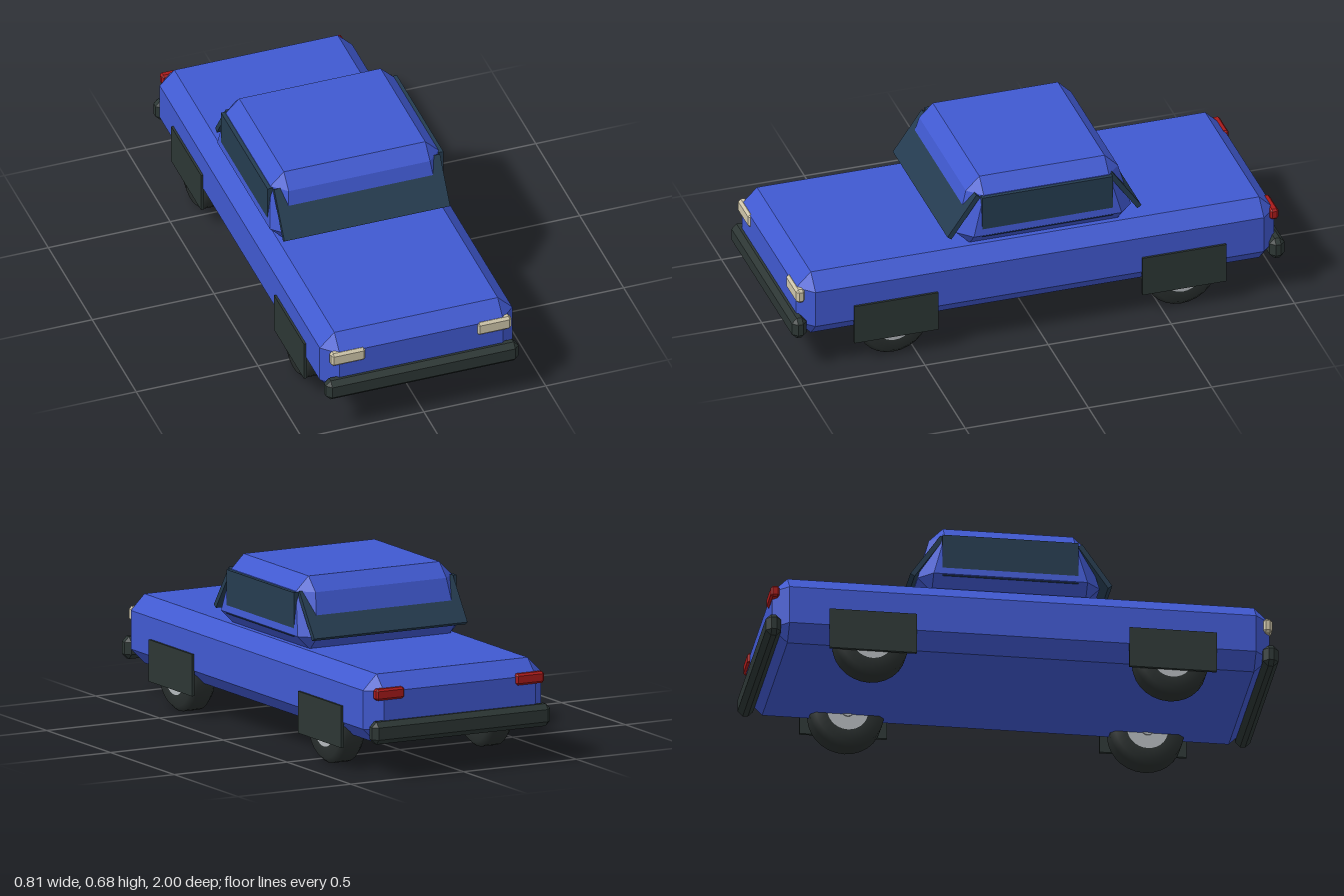
import * as THREE from 'three';
import { ConvexGeometry } from 'three/addons/geometries/ConvexGeometry.js';

const paint = (name, color, extra = {}) => {
  const m = new THREE.MeshStandardMaterial({ color, ...extra });
  m.name = name;
  return m;
};

// Box with every edge chamfered; lo and hi are the [half width, half depth] of the lower and upper rim
function chamferBox(y0, y1, lo, hi, b) {
  const pts = [];
  for (const sx of [-1, 1]) for (const sz of [-1, 1]) {
    for (const [end, rim, [x, z]] of [[y0, y0 + b, lo], [y1, y1 - b, hi]]) {
      pts.push(
        new THREE.Vector3(sx * (x - b), end, sz * (z - b)),
        new THREE.Vector3(sx * x, rim, sz * (z - b)),
        new THREE.Vector3(sx * (x - b), rim, sz * z));
    }
  }
  return new ConvexGeometry(pts);
}

const block = (w, h, d, b) => chamferBox(-h / 2, h / 2, [w / 2, d / 2], [w / 2, d / 2], b);

export function createModel() {
  const blue = paint('bodyBlue', 0x4059d0);
  const glass = paint('darkGlass', 0x253c50);
  const black = paint('trimBlack', 0x2c3634);
  const rubber = paint('tyreRubber', 0x2a302f);
  const silver = paint('hubSilver', 0xb4b8bc);
  const cream = paint('headlightCream', 0xcfc6aa);
  const red = paint('tailLightRed', 0xa81a1a);

  const car = new THREE.Group();
  car.name = 'car';
  const add = (name, geo, mat, x = 0, y = 0, z = 0, parent = car) => {
    const m = new THREE.Mesh(geo, mat);
    m.name = name;
    m.position.set(x, y, z);
    parent.add(m);
    return m;
  };

  // Lower body and tapered cabin
  add('body', chamferBox(0.13, 0.402, [0.395, 0.97], [0.395, 0.97], 0.06), blue);
  add('cabin', chamferBox(0.398, 0.677, [0.364, 0.355], [0.345, 0.309], 0.055), blue, 0, 0, -0.043);

  // Sloping windscreens, sunk into the cabin at the top
  const screen = new THREE.BoxGeometry(0.68, 0.205, 0.02);
  add('windscreen', screen, glass, 0, 0.535, 0.29).rotation.x = -0.61;
  add('rearWindow', screen, glass, 0, 0.535, -0.364).rotation.x = 0.61;

  // Bumpers
  const bumper = block(0.79, 0.088, 0.06, 0.02);
  add('frontBumper', bumper, black, 0, 0.184, 0.97);
  add('rearBumper', bumper, black, 0, 0.184, -0.97);

  // Tyre profile, turned around the axle
  const tyre = new THREE.LatheGeometry(
    [[0.08, -0.055], [0.125, -0.055], [0.145, -0.034], [0.145, 0.034], [0.125, 0.055], [0.08, 0.055]]
      .map(([r, y]) => new THREE.Vector2(r, y)), 28);
  const hub = new THREE.CylinderGeometry(0.082, 0.082, 0.108, 28);
  const cap = new THREE.CylinderGeometry(0.025, 0.025, 0.12, 16);
  const windowPane = new THREE.BoxGeometry(0.022, 0.173, 0.53);
  const flap = new THREE.BoxGeometry(0.012, 0.165, 0.34);
  const headlight = block(0.142, 0.058, 0.036, 0.01);
  const tailLight = block(0.125, 0.045, 0.034, 0.008);

  for (const [side, s] of [['left', 1], ['right', -1]]) {
    add(side + 'SideWindow', windowPane, glass, s * 0.35, 0.533, -0.043);
    add(side + 'Headlight', headlight, cream, s * 0.299, 0.317, 0.96);
    add(side + 'TailLight', tailLight, red, s * 0.31, 0.332, -0.962);

    for (const [end, z] of [['Front', 0.585], ['Rear', -0.585]]) {
      add(side + end + 'WheelCover', flap, black, s * 0.398, 0.173, z);
      const wheel = new THREE.Group();
      wheel.name = side + end + 'Wheel';
      wheel.position.set(s * 0.33, 0.145, z);
      wheel.rotation.z = Math.PI / 2;
      add('tyre', tyre, rubber, 0, 0, 0, wheel);
      add('hub', hub, silver, 0, 0, 0, wheel);
      add('hubCap', cap, silver, 0, 0, 0, wheel);
      car.add(wheel);
    }
  }
  return car;
}
